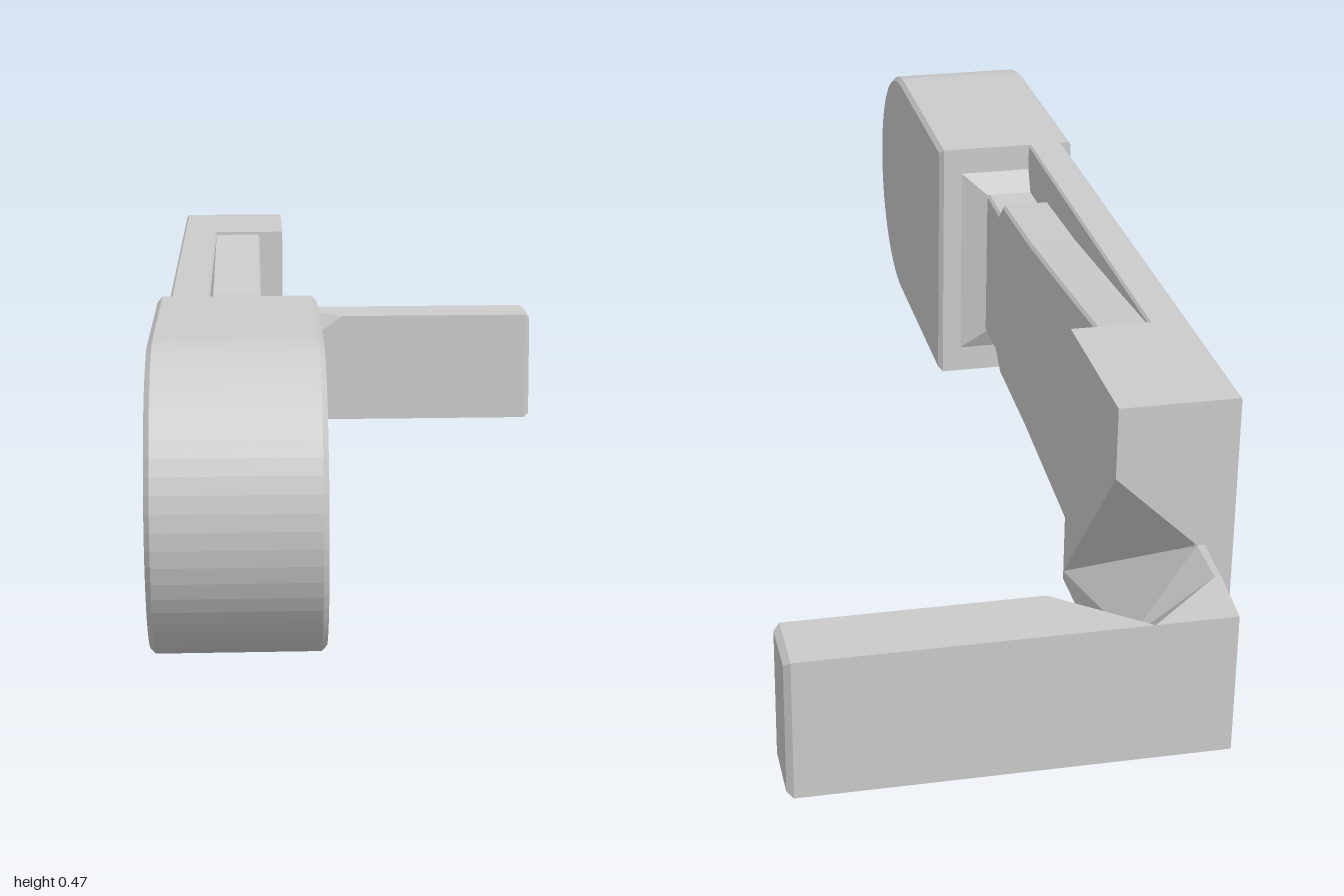
import * as THREE from 'three';

const material = new THREE.MeshStandardMaterial({ color: 0xcccccc, flatShading: true });

function addMesh(group, name, geometry) {
  const mesh = new THREE.Mesh(geometry, material);
  mesh.name = name;
  group.add(mesh);
}

// Side outline given as [z, y] points
function sideShape(points) {
  return new THREE.Shape(points.map(([z, y]) => new THREE.Vector2(-z, y)));
}

// Extrude a side outline from x0 to x1 with small chamfers
function extrudeX(shape, x0, x1, bevel) {
  const geometry = new THREE.ExtrudeGeometry(shape, {
    depth: x1 - x0 - 2 * bevel, bevelEnabled: bevel > 0, bevelThickness: bevel,
    bevelSize: bevel, bevelOffset: -bevel, bevelSegments: 1, curveSegments: 14,
  });
  return geometry.rotateY(Math.PI / 2).translate(x0 + bevel, 0, 0);
}

// Closed skin through matching cross-sections, capped at both ends
function loft(sections) {
  const n = sections[0].length;
  const index = [];
  for (let s = 0; s < sections.length - 1; s++) {
    for (let i = 0; i < n; i++) {
      const a = s * n + i, b = s * n + (i + 1) % n;
      index.push(a, a + n, b, b, a + n, b + n);
    }
  }
  const end = (sections.length - 1) * n;
  for (let i = 1; i < n - 1; i++) {
    index.push(0, i, i + 1, end, end + i + 1, end + i);
  }
  const geometry = new THREE.BufferGeometry();
  geometry.setAttribute('position', new THREE.Float32BufferAttribute(sections.flat(2), 3));
  geometry.setIndex(index);
  const flat = geometry.toNonIndexed();
  flat.computeVertexNormals();
  return flat;
}

export function createModel() {
  const group = new THREE.Group();
  const H = 0.47;

  // Thick head with a round nose
  const head = new THREE.Shape();
  head.moveTo(-0.36, H);
  head.lineTo(-0.77, H);
  head.absellipse(-0.77, H / 2, 0.23, H / 2, Math.PI / 2, Math.PI * 1.5, false);
  head.lineTo(-0.36, 0);
  head.closePath();
  addMesh(group, 'head', extrudeX(head, -0.38, -0.12, 0.008));

  // Flat back plate with a small square hole near its end
  const plate = sideShape([[0.38, 0.005], [-0.765, 0.005], [-0.765, H], [0.38, H]]);
  plate.holes.push(new THREE.Path([[-0.665, 0.2], [-0.665, 0.26], [-0.72, 0.26], [-0.72, 0.2]]
    .map(([z, y]) => new THREE.Vector2(-z, y))));
  addMesh(group, 'backPlate', extrudeX(plate, -0.36, -0.295, 0.004));

  // Tapering inner panel, narrowest near the head
  const panel = sideShape([
    [0.37, 0.09], [0.25, 0.09], [0.21, 0.06], [0, 0.05], [-0.3, 0.022], [-0.48, 0.01],
    [-0.48, 0.465], [-0.3, 0.447], [0, 0.42], [0.21, 0.41], [0.24, 0.38], [0.37, 0.38],
  ]);
  addMesh(group, 'innerPanel', extrudeX(panel, -0.3, -0.21, 0.005));

  // Small flare where the panel meets the head
  addMesh(group, 'headFlare', loft([
    [[-0.3, 0.03, 0.37], [-0.14, 0.03, 0.37], [-0.14, 0.44, 0.37], [-0.3, 0.44, 0.37]],
    [[-0.3, 0.09, 0.34], [-0.21, 0.09, 0.34], [-0.21, 0.38, 0.34], [-0.3, 0.38, 0.34]],
  ]));

  // End block, undercut by a wedge that starts at its lower front corner
  const right = -0.165, left = -0.3;
  const z0 = -0.475, z1 = -0.765;
  addMesh(group, 'endBlock', loft([
    [[left, 0.02, z0], [right, 0.02, z0], [right, 0.02, z0], [right, H, z0], [left, H, z0]],
    [[left, 0.22, z1], [left, 0.22, z1], [right, 0.35, z1], [right, H, z1], [left, H, z1]],
  ]));

  // Lower web running back from the wedge to the handle corner
  addMesh(group, 'connector', loft([
    [[left, 0.005, z0], [right, 0.005, z0], [right, 0.02, z0], [right, 0.02, z0], [left, 0.02, z0]],
    [[-0.312, 0.005, z1], [right, 0.005, z1], [right, 0.105, z1], [left, 0.22, z1], [-0.312, 0.22, z1]],
    [[-0.302, 0.004, -0.88], [right, 0.004, -0.88], [right, 0.14, -0.88], [-0.292, 0.232, -0.88], [-0.302, 0.232, -0.88]],
    [[-0.292, 0.003, -1], [right, 0.003, -1], [right, 0.235, -1], [-0.285, 0.235, -1], [-0.292, 0.235, -1]],
  ]));

  // Sideways handle bar, its inner top edge dipping into the corner
  const bar = (x, front, inset = 0) => [
    [x, 0.003 + inset, -1 + inset], [x, 0.003 + inset, -0.885 - inset],
    [x, front - inset, -0.885 - inset], [x, 0.235 - inset, -1 + inset],
  ];
  addMesh(group, 'handle', loft([
    bar(right, 0.14), bar(-0.03, 0.232), bar(0.37, 0.232), bar(0.38, 0.232, 0.008),
  ]));

  return group;
}
